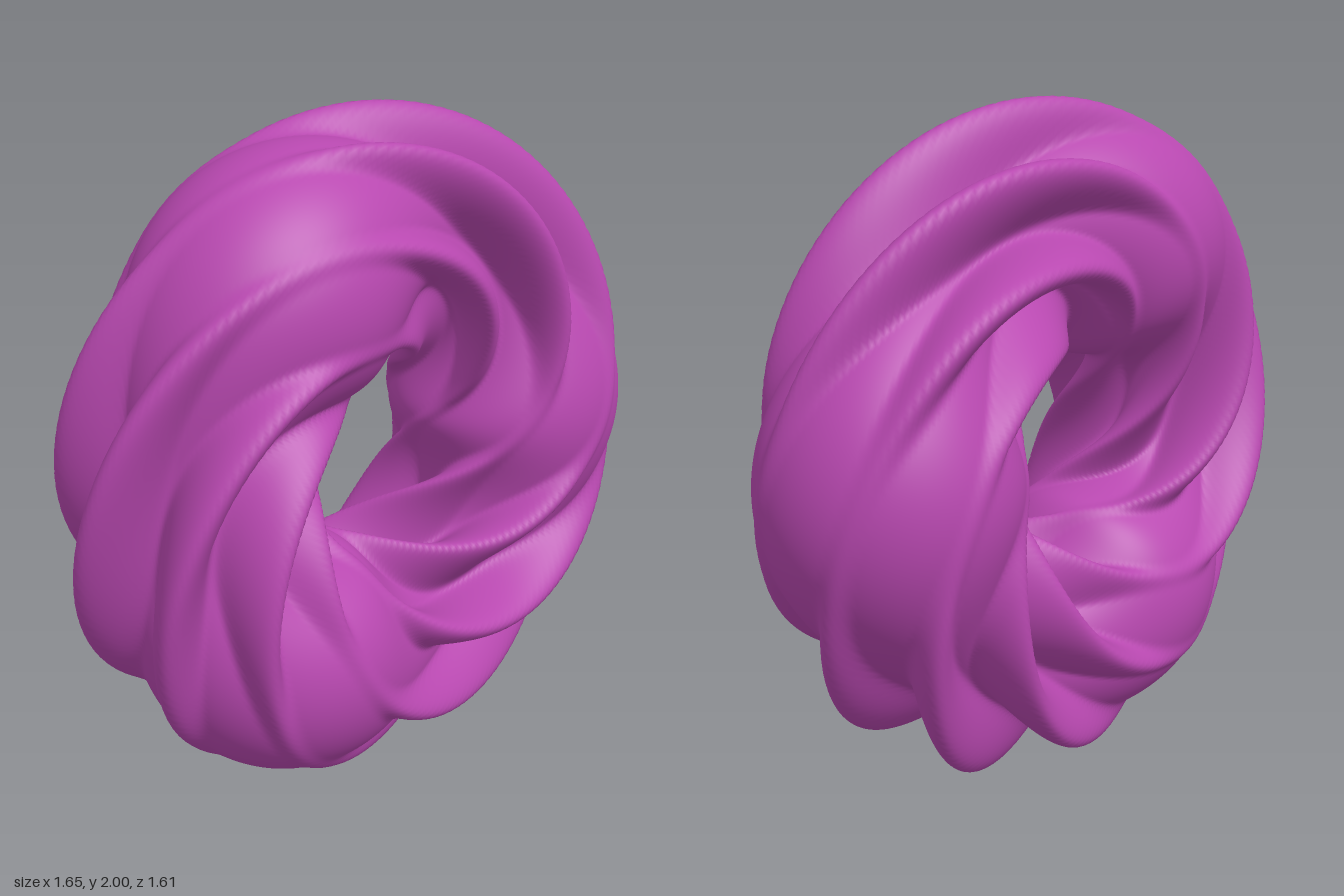
import * as THREE from 'three';
import { mergeVertices } from 'three/addons/utils/BufferGeometryUtils.js';

const RING = 0.638;   // centre radius of the ring
const CREST = 0.366;  // tube radius on the ridges
const DEPTH = 0.2;    // deepest groove between ridges
const LOBES = 7;      // grooves around the tube
const FADES = 3;      // places around the ring where the grooves fill up
const BLEND = 0.15;   // softness where a ridge meets the groove floor

// Smaller of two values, with a rounded transition
function softMin(a, b) {
  const h = Math.max(BLEND - Math.abs(a - b), 0) / BLEND;
  return Math.min(a, b) - h * h * BLEND / 4;
}

// Torus with twisted grooves that make one full turn and fill up three times
function twistedTorus() {
  const geo = new THREE.TorusGeometry(RING, CREST, 160, 360);
  const p = geo.attributes.position;
  for (let i = 0; i < p.count; i++) {
    const x = p.getX(i), y = p.getY(i), z = p.getZ(i);
    const u = Math.atan2(y, x);
    const v = Math.atan2(z, Math.hypot(x, y) - RING);
    const groove = (1 + Math.cos(LOBES * (u + v))) / 2;
    const floor = (1 - Math.cos(FADES * u)) / 2;
    const r = CREST - DEPTH * softMin(groove, floor);
    const d = RING + r * Math.cos(v);
    p.setXYZ(i, d * Math.cos(u), d * Math.sin(u), r * Math.sin(v));
  }
  // weld the seams so the shading is smooth all round
  geo.deleteAttribute('uv');
  geo.deleteAttribute('normal');
  const welded = mergeVertices(geo, 1e-5);
  welded.computeVertexNormals();
  return welded;
}

export function createModel() {
  const group = new THREE.Group();
  group.name = 'twistedRing';
  const magenta = new THREE.MeshStandardMaterial({ color: 0xb848b0 });
  magenta.name = 'magenta';

  // Upright ring, turned to face diagonally
  const ring = new THREE.Mesh(twistedTorus(), magenta);
  ring.name = 'ridgedRing';
  ring.rotation.y = 0.765;
  ring.position.y = 1;
  group.add(ring);
  return group;
}
